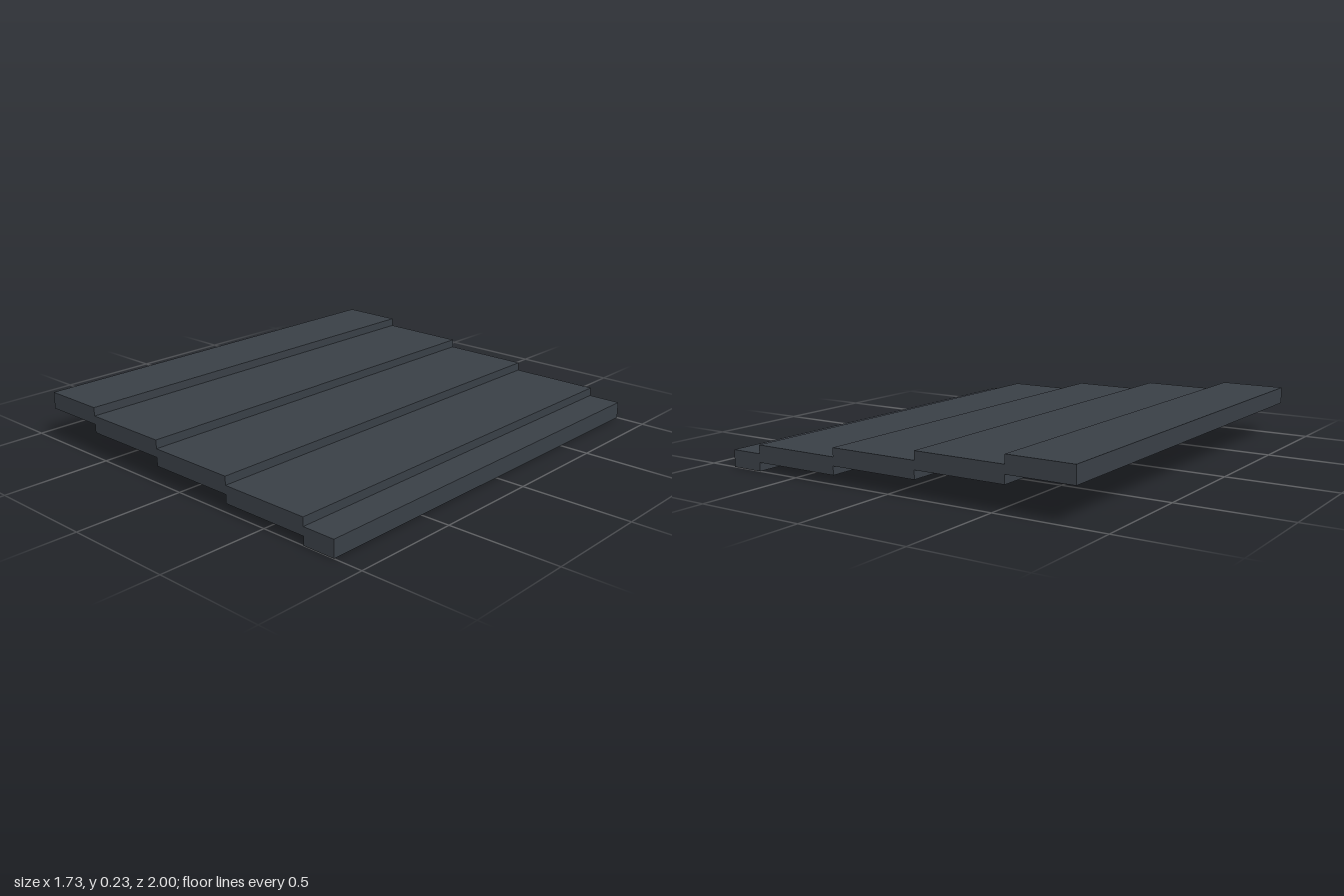
import * as THREE from 'three';

export function createModel() {
  const model = new THREE.Group();
  model.name = 'steppedPanel';

  const slate = new THREE.MeshStandardMaterial({ color: 0x393f46 });
  slate.name = 'dark slate';

  // Long planks side by side, each half a thickness lower than the last
  const edges = [-0.865, -0.56, -0.136, 0.287, 0.711, 0.865];
  const thickness = 0.0775;
  const drop = thickness / 2;
  const count = edges.length - 1;

  for (let i = 0; i < count; i++) {
    const width = edges[i + 1] - edges[i];
    const plank = new THREE.Mesh(new THREE.BoxGeometry(width, thickness, 2), slate);
    plank.name = `plank${i + 1}`;
    plank.position.set(edges[i] + width / 2, thickness / 2 + (count - 1 - i) * drop, 0);
    model.add(plank);
  }
  return model;
}
